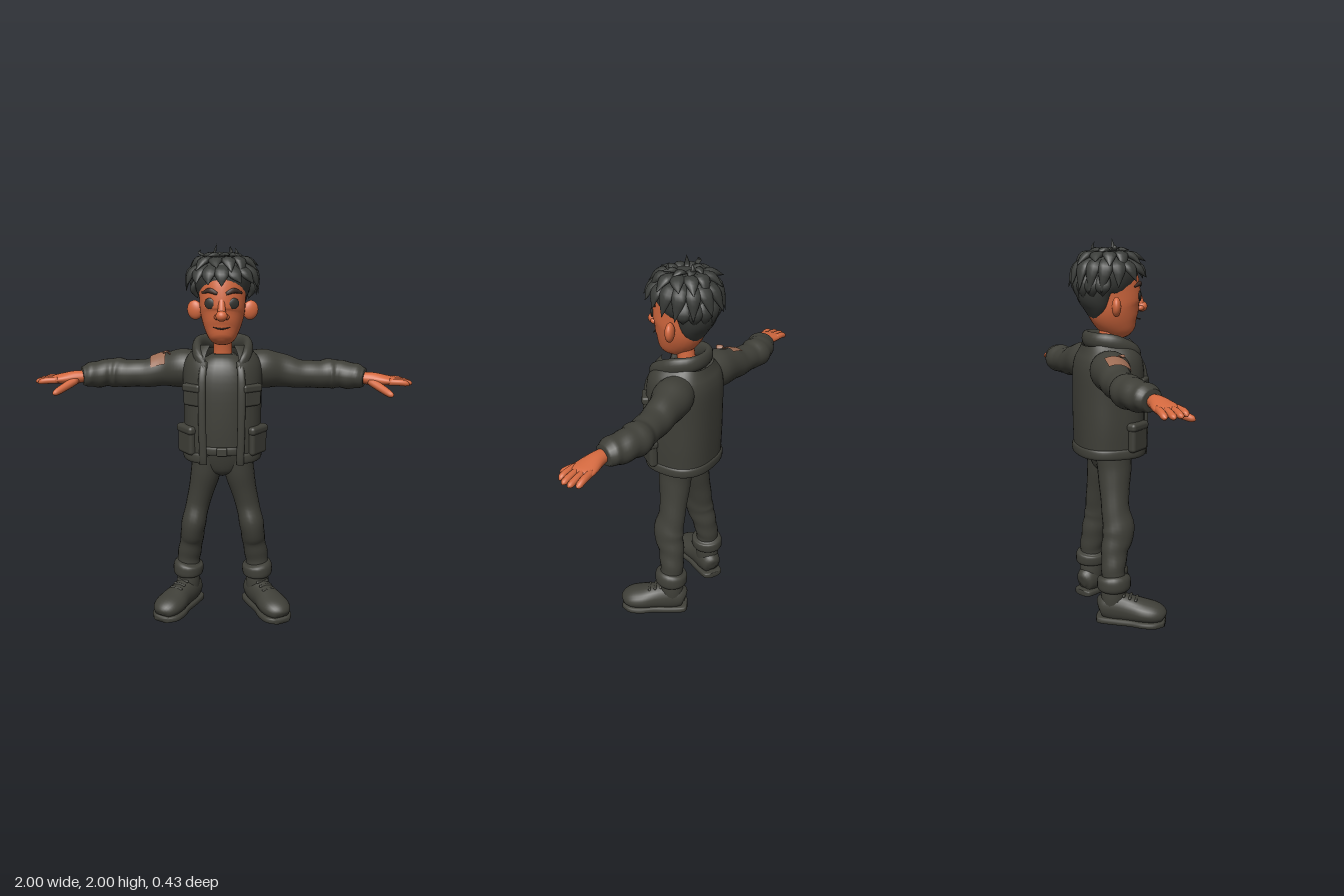
import * as THREE from 'three';
import { RoundedBoxGeometry } from 'three/addons/geometries/RoundedBoxGeometry.js';

const paint = (name, color, open) => {
  const m = new THREE.MeshStandardMaterial({ color });
  m.name = name;
  if (open) m.side = THREE.DoubleSide;
  return m;
};
const V = (x, y, z) => new THREE.Vector3(x, y, z);
const spow = (v, p) => Math.sign(v) * Math.abs(v) ** p;

// Sweeps an oval along points [x, y, z, radiusSide, radiusRef]; arc leaves the oval open.
function sweep(pts, { ref = V(0, 0, 1), n = 20, k = 4, pow = 1, arc = null, ripple = 0 } = {}) {
  const path = new THREE.CatmullRomCurve3(pts.map(p => V(p[0], p[1], p[2])), false, 'catmullrom');
  const size = new THREE.CatmullRomCurve3(pts.map(p => V(p[3], p[4], 0)), false, 'catmullrom');
  const m = k * (pts.length - 1), cols = arc ? n + 1 : n, pos = [], idx = [];
  for (let i = 0; i <= m; i++) {
    const u = i / m, c = path.getPoint(u), r = size.getPoint(u), t = path.getTangent(u);
    const side = t.clone().cross(ref).normalize(), up = side.clone().cross(t);
    for (let j = 0; j < cols; j++) {
      const a = arc ? arc[0] + (arc[1] - arc[0]) * j / n : j / n * Math.PI * 2;
      const f = 1 + ripple * u * Math.sin(u * 42 + 1.5 * Math.cos(a));
      const p = c.clone()
        .addScaledVector(side, Math.max(r.x, 0.001) * f * spow(Math.sin(a), pow))
        .addScaledVector(up, Math.max(r.y, 0.001) * f * spow(Math.cos(a), pow));
      pos.push(p.x, p.y, p.z);
    }
  }
  for (let i = 0; i < m; i++) for (let j = 0; j < n; j++) {
    const a = i * cols + j, b = i * cols + (arc ? j + 1 : (j + 1) % n);
    idx.push(a, b, a + cols, b, b + cols, a + cols);
  }
  if (!arc) for (const [row, end] of [[0, 0], [m, 1]]) {
    const c = path.getPoint(end), q = pos.length / 3;
    pos.push(c.x, c.y, c.z);
    for (let j = 0; j < n; j++) {
      const a = row * cols + j, b = row * cols + (j + 1) % n;
      idx.push(q, ...(end ? [a, b] : [b, a]));
    }
  }
  const g = new THREE.BufferGeometry();
  g.setAttribute('position', new THREE.Float32BufferAttribute(pos, 3));
  g.setIndex(idx);
  g.computeVertexNormals();
  return g;
}

export function createModel() {
  const root = new THREE.Group();
  root.name = 'youngMan';
  const cloth = paint('darkCloth', 0x3f3f38, true), hairMat = paint('darkHair', 0x3a3c39);
  const skin = paint('skin', 0xd4693f), patchMat = paint('patch', 0x9c6c54, true);
  const eyeMat = paint('eyeDark', 0x33332f), browMat = paint('brow', 0x45322a);
  const UP = V(0, 1, 0);
  const add = (name, geo, mat, p = [0, 0, 0], r = [0, 0, 0], s = [1, 1, 1]) => {
    const mesh = new THREE.Mesh(geo, mat);
    mesh.name = name;
    mesh.position.set(...p); mesh.rotation.set(...r); mesh.scale.set(...s);
    root.add(mesh);
    return mesh;
  };
  const ball = (name, mat, p, s, r) => add(name, new THREE.SphereGeometry(1, 24, 16), mat, p, r, s);

  // Head and neck
  add('neck', sweep([[0, 1.38, -0.035, 0.055, 0.05], [0, 1.47, -0.025, 0.048, 0.045], [0, 1.6, 0, 0.05, 0.05]]), skin);
  add('head', sweep([
    [0, 1.512, 0.095, 0.02, 0.02], [0, 1.53, 0.083, 0.06, 0.06], [0, 1.58, 0.05, 0.09, 0.11],
    [0, 1.65, 0.02, 0.112, 0.14], [0, 1.72, 0.01, 0.118, 0.15], [0, 1.8, -0.005, 0.12, 0.15],
    [0, 1.87, -0.01, 0.1, 0.13], [0, 1.91, -0.01, 0.02, 0.02]], { n: 32 }), skin);
  add('noseBridge', sweep([[0, 1.74, 0.145, 0.014, 0.01], [0, 1.7, 0.158, 0.018, 0.018], [0, 1.655, 0.168, 0.024, 0.022]]), skin);
  ball('noseTip', skin, [0, 1.657, 0.173], [0.029, 0.027, 0.029]);
  add('mouth', sweep([[-0.042, 1.598, 0.147, 0.002, 0.002], [0, 1.592, 0.161, 0.004, 0.004], [0.042, 1.598, 0.147, 0.002, 0.002]],
    { ref: UP, n: 8 }), browMat);
  for (const s of [1, -1]) {
    ball('nostril', skin, [s * 0.024, 1.65, 0.157], [0.014, 0.014, 0.018]);
    ball('ear', skin, [s * 0.143, 1.668, -0.018], [0.042, 0.05, 0.024], [0, s * 0.35, -s * 0.15]);
    ball('eye', eyeMat, [s * 0.06, 1.715, 0.138], [0.028, 0.027, 0.009], [0, s * 0.38, 0]);
    add('eyebrow', sweep([[s * 0.022, 1.763, 0.152, 0.006, 0.008], [s * 0.06, 1.778, 0.138, 0.009, 0.013],
      [s * 0.1, 1.764, 0.095, 0.004, 0.005]], { ref: UP, n: 10 }), browMat);
  }

  // Hair: a cap under rows of pointed locks
  add('hairCap', sweep([
    [0, 1.59, -0.075, 0.045, 0.025], [0, 1.66, -0.075, 0.1, 0.07], [0, 1.75, -0.08, 0.132, 0.108],
    [0, 1.82, -0.028, 0.145, 0.158], [0, 1.88, -0.015, 0.135, 0.15], [0, 1.93, -0.012, 0.08, 0.09],
    [0, 1.945, -0.012, 0.01, 0.01]], { n: 32 }), hairMat);
  const lock = (a, pts, w) => {
    const [p0, p1, p2] = pts.map(([r, y, da = 0]) => [Math.sin(a + da) * r, y, Math.cos(a + da) * r - 0.015]);
    add('hairLock', sweep([[...p0, w * 0.3, w * 0.6], [...p1, w * 0.5, w], [...p2, 0.001, 0.001]],
      { ref: V(Math.cos(a), 0, -Math.sin(a)), n: 10, k: 5 }), hairMat);
  };
  for (let i = 0; i < 16; i++) {
    const a = i / 16 * Math.PI * 2, back = (1 - Math.cos(a)) / 2, j = Math.sin(i * 7.3);
    lock(a, [[0.09, 1.905], [0.165, 1.86], [0.192 + 0.012 * j, 1.8 - 0.06 * back + 0.02 * j, 0.12 * j]], 0.038);
  }
  for (let i = 0; i < 12; i++) {
    const j = Math.sin(i * 4.7);
    lock((i + 0.5) / 12 * Math.PI * 2, [[0.04, 1.915], [0.125, 1.92], [0.185 + 0.015 * j, 1.868 + 0.02 * j, 0.15 * j]], 0.036);
  }
  for (let i = 0; i < 8; i++) {
    const j = Math.sin(i * 5.9);
    lock(i / 8 * Math.PI * 2 + 0.2, [[0.02, 1.91], [0.065, 1.945], [0.125 + 0.02 * j, 1.945 + 0.015 * j, 0.3 * j]], 0.026);
  }
  for (let i = -3; i <= 3; i++)
    lock(Math.PI + i * 0.36, [[0.13, 1.84], [0.163, 1.77], [0.15, 1.685 + 0.012 * Math.abs(i)]], 0.042);
  for (const [a, r, y] of [[-1.2, 0.03, 2], [-1.6, 0.11, 1.97], [2.6, 0.07, 1.985], [0.9, 0.08, 1.98]])
    lock(a, [[0.02, 1.92], [r * 0.9 + 0.015, 1.95], [r, y]], 0.014);

  // Shirt, belt and trousers
  add('shirt', sweep([
    [0, 0.93, -0.01, 0.16, 0.125], [0, 1.1, -0.01, 0.165, 0.13], [0, 1.3, -0.015, 0.165, 0.13],
    [0, 1.4, -0.025, 0.12, 0.105], [0, 1.44, -0.03, 0.06, 0.06]], { n: 28, pow: 0.85 }), cloth);
  add('neckband', new THREE.TorusGeometry(0.066, 0.011, 8, 28), cloth, [0, 1.425, -0.025], [Math.PI / 2 + 0.15, 0, 0]);
  add('belt', sweep([[0, 0.925, -0.01, 0.155, 0.12], [0, 0.93, -0.01, 0.168, 0.135], [0, 0.965, -0.01, 0.168, 0.135],
    [0, 0.97, -0.01, 0.155, 0.12]], { n: 28, pow: 0.85 }), cloth);
  add('buckle', new RoundedBoxGeometry(0.055, 0.045, 0.02, 2, 0.006), cloth, [0, 0.947, 0.128]);
  add('hips', sweep([[0, 0.79, -0.012, 0.02, 0.05], [0, 0.82, -0.012, 0.1, 0.085], [0, 0.88, -0.01, 0.155, 0.105],
    [0, 0.95, -0.01, 0.16, 0.12]], { n: 28 }), cloth);

  // Jacket shell, open at the front
  const open = [0.38, Math.PI * 2 - 0.38];
  add('jacketBody', sweep([
    [0, 0.9, -0.01, 0.198, 0.178], [0, 1.05, -0.012, 0.205, 0.18], [0, 1.2, -0.015, 0.205, 0.178],
    [0, 1.34, -0.015, 0.208, 0.175], [0, 1.42, -0.02, 0.19, 0.157], [0, 1.485, -0.03, 0.13, 0.12]],
  { n: 40, pow: 0.8, arc: open }), cloth);
  add('jacketHem', sweep([[0, 0.888, -0.01, 0.18, 0.16], [0, 0.897, -0.01, 0.207, 0.185],
    [0, 0.935, -0.01, 0.208, 0.187], [0, 0.947, -0.01, 0.198, 0.178]], { n: 40, pow: 0.8, arc: open }), cloth);
  add('collar', sweep([
    [-0.085, 1.385, 0.125, 0.012, 0.02], [-0.12, 1.44, 0.085, 0.026, 0.036], [-0.13, 1.485, -0.02, 0.026, 0.042],
    [-0.085, 1.497, -0.1, 0.024, 0.04], [0, 1.498, -0.125, 0.022, 0.04], [0.085, 1.497, -0.1, 0.024, 0.04],
    [0.13, 1.485, -0.02, 0.026, 0.042], [0.12, 1.44, 0.085, 0.026, 0.036], [0.085, 1.385, 0.125, 0.012, 0.02]],
  { ref: UP }), cloth);

  for (const s of [1, -1]) {
    // Jacket front edge and pockets
    add('frontEdge', sweep([[s * 0.095, 0.89, 0.155, 0.02, 0.015], [s * 0.1, 1.1, 0.158, 0.02, 0.014],
      [s * 0.1, 1.32, 0.15, 0.02, 0.014], [s * 0.09, 1.42, 0.112, 0.018, 0.014]], { pow: 0.7 }), cloth);
    const turn = s * 0.6;
    add('chestPocket', new RoundedBoxGeometry(0.1, 0.1, 0.03, 3, 0.012), cloth, [s * 0.152, 1.245, 0.125], [0, turn, 0]);
    add('chestPocketFlap', new RoundedBoxGeometry(0.11, 0.04, 0.042, 3, 0.012), cloth, [s * 0.152, 1.288, 0.125], [0, turn, 0]);
    add('sidePocket', new RoundedBoxGeometry(0.13, 0.14, 0.045, 3, 0.018), cloth, [s * 0.183, 1.0, 0.085], [0, s * 0.95, 0]);
    add('sidePocketFlap', new RoundedBoxGeometry(0.14, 0.045, 0.056, 3, 0.018), cloth, [s * 0.183, 1.062, 0.085], [0, s * 0.95, 0]);

    // Sleeve
    add('sleeve', sweep([
      [s * 0.11, 1.37, -0.055, 0.085, 0.08], [s * 0.2, 1.357, -0.07, 0.103, 0.103], [s * 0.3, 1.345, -0.09, 0.085, 0.09],
      [s * 0.4, 1.325, -0.098, 0.08, 0.076], [s * 0.5, 1.32, -0.105, 0.075, 0.073], [s * 0.57, 1.322, -0.115, 0.084, 0.079],
      [s * 0.63, 1.32, -0.108, 0.078, 0.073], [s * 0.7, 1.315, -0.082, 0.078, 0.068], [s * 0.75, 1.312, -0.065, 0.058, 0.05]],
    { ref: UP, n: 24, k: 6, ripple: 0.045 }), cloth);

    // Hand
    add('palm', sweep([[s * 0.73, 1.31, -0.062, 0.034, 0.028], [s * 0.79, 1.306, -0.056, 0.045, 0.034],
      [s * 0.86, 1.3, -0.053, 0.062, 0.026], [s * 0.9, 1.297, -0.053, 0.058, 0.019], [s * 0.915, 1.296, -0.053, 0.03, 0.01]],
    { ref: UP }), skin);
    [[-0.1, 0.98], [-0.068, 0.998], [-0.034, 0.995], [-0.002, 0.975]].forEach(([z, x], i) =>
      add('finger', sweep([[s * 0.87, 1.298, z * 0.9 - 0.005, 0.016, 0.018], [s * 0.93, 1.296, z, 0.017, 0.017],
        [s * (x - 0.015), 1.284 + i * 0.002, z, 0.015, 0.014], [s * x, 1.282, z, 0.003, 0.003]], { ref: UP, n: 12 }), skin));
    add('thumb', sweep([[s * 0.78, 1.295, -0.035, 0.025, 0.022], [s * 0.83, 1.267, 0.02, 0.022, 0.021],
      [s * 0.868, 1.246, 0.068, 0.017, 0.016], [s * 0.878, 1.239, 0.082, 0.003, 0.003]], { ref: UP, n: 12 }), skin);

    // Trouser leg with rolled cuff
    add('trouserLeg', sweep([
      [s * 0.08, 0.92, -0.01, 0.085, 0.1], [s * 0.092, 0.8, -0.01, 0.08, 0.09], [s * 0.132, 0.63, -0.02, 0.065, 0.075],
      [s * 0.16, 0.5, -0.01, 0.067, 0.087], [s * 0.172, 0.4, -0.035, 0.064, 0.074], [s * 0.19, 0.29, -0.05, 0.064, 0.064],
      [s * 0.196, 0.2, -0.05, 0.06, 0.062]], { ripple: 0.035, k: 6 }), cloth);
    add('trouserCuff', sweep([[s * 0.196, 0.18, -0.047, 0.06, 0.065], [s * 0.196, 0.192, -0.047, 0.08, 0.088],
      [s * 0.194, 0.222, -0.047, 0.085, 0.092], [s * 0.192, 0.25, -0.047, 0.08, 0.087], [s * 0.19, 0.263, -0.047, 0.06, 0.06]]), cloth);

    // Boot, toe turned outward
    const along = (d, y, w, h) => [s * (0.195 + d * 0.485), y, -0.05 + d * 0.875, w, h];
    add('bootUpper', sweep([along(-0.08, 0.08, 0.02, 0.03), along(-0.06, 0.085, 0.055, 0.065), along(0, 0.09, 0.066, 0.085),
      along(0.08, 0.08, 0.068, 0.075), along(0.16, 0.072, 0.083, 0.062), along(0.225, 0.065, 0.078, 0.053),
      along(0.268, 0.055, 0.05, 0.035), along(0.28, 0.05, 0.01, 0.01)], { ref: UP, n: 24 }), cloth);
    add('bootSole', sweep([along(-0.09, 0.019, 0.03, 0.016), along(-0.07, 0.019, 0.06, 0.019), along(0.02, 0.019, 0.07, 0.019),
      along(0.1, 0.019, 0.074, 0.019), along(0.17, 0.019, 0.088, 0.019), along(0.235, 0.019, 0.082, 0.019),
      along(0.28, 0.019, 0.045, 0.016)], { ref: UP, n: 24, pow: 0.5 }), cloth);
    add('bootShaft', sweep([[s * 0.195, 0.07, -0.05, 0.06, 0.065], [s * 0.195, 0.14, -0.05, 0.064, 0.068],
      [s * 0.195, 0.2, -0.05, 0.06, 0.062]]), cloth);
    for (let i = 0; i < 3; i++) {
      const [x, , z] = along(0.06 + i * 0.032, 0, 0, 0);
      add('lace', new THREE.CapsuleGeometry(0.008, 0.06, 4, 8), cloth, [x, 0.158 - i * 0.01, z], [0, s * 0.506, Math.PI / 2]);
    }
  }

  // Torn patch on the right upper sleeve
  add('sleevePatch', sweep([[-0.28, 1.348, -0.087, 0.098, 0.1], [-0.32, 1.341, -0.093, 0.092, 0.095], [-0.365, 1.331, -0.097, 0.089, 0.088]],
    { ref: UP, n: 14, arc: [-1.15, 0.45] }), patchMat);
  add('tornEdge', sweep([[-0.275, 1.43, -0.05, 0.014, 0.004], [-0.295, 1.447, -0.045, 0.02, 0.005], [-0.315, 1.44, -0.04, 0.006, 0.004]],
    { ref: UP, n: 8 }), patchMat);
  return root;
}
